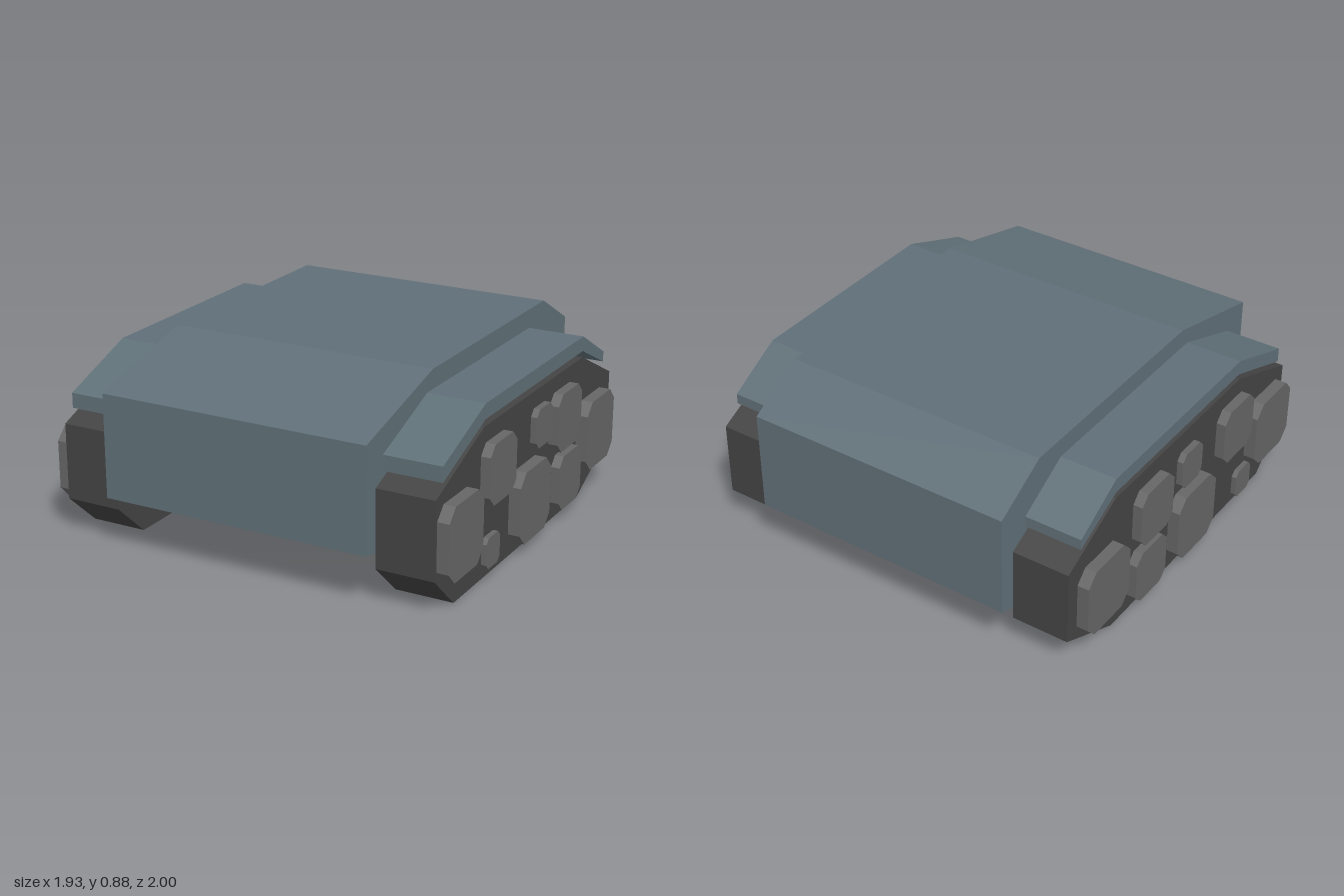
import * as THREE from 'three';

const material = (color) => new THREE.MeshStandardMaterial({ color, flatShading: true });

// Side profile given as [z, y] points, extruded along x from x0 to x1
function slab(name, profile, x0, x1, mat) {
  const shape = new THREE.Shape(profile.map(([z, y]) => new THREE.Vector2(-z, y)));
  const geometry = new THREE.ExtrudeGeometry(shape, { depth: x1 - x0, bevelEnabled: false });
  geometry.rotateY(Math.PI / 2).translate(x0, 0, 0);
  const mesh = new THREE.Mesh(geometry, mat);
  mesh.name = name;
  return mesh;
}

// Square with cut corners, centred on [z, y] with half sizes w and h
function octagon(z, y, w, h) {
  const cw = w * 0.66, ch = h * 0.66;
  return [[w, -ch], [w, ch], [cw, h], [-cw, h], [-w, ch], [-w, -ch], [-cw, -h], [cw, -h]]
    .map(([a, b]) => [z + a, y + b]);
}

export function createModel() {
  const model = new THREE.Group();
  const armour = material(0x607078);
  const rubber = material(0x444444);
  const steel = material(0x666666);

  // Central hull, wedge-shaped at both ends
  const hull = [[1, 0.25], [1, 0.73], [0.42, 0.88], [-0.73, 0.88],
    [-1, 0.73], [-1, 0.25], [-0.73, 0.15], [0.42, 0.15]];
  model.add(slab('hull', hull, -0.64, 0.64, armour));

  const track = [[0.92, 0.165], [0.92, 0.52], [0.48, 0.69], [-0.57, 0.69],
    [-0.92, 0.52], [-0.92, 0.165], [-0.57, 0], [0.74, 0]];
  const fender = [[0.86, 0.575], [0.86, 0.645], [0.47, 0.79], [-0.57, 0.79],
    [-0.83, 0.645], [-0.83, 0.595], [-0.57, 0.72], [0.47, 0.72]];
  // Wheels: z, y, half length, half height
  const wheels = [
    [0.745, 0.313, 0.161, 0.168], [0.05, 0.217, 0.161, 0.168], [-0.688, 0.311, 0.162, 0.167],
    [0.398, 0.488, 0.132, 0.137], [-0.31, 0.488, 0.132, 0.137], [-0.34, 0.19, 0.125, 0.13],
    [-0.023, 0.545, 0.085, 0.09], [0.483, 0.15, 0.067, 0.071],
  ];

  for (const [side, s] of [['left', 1], ['right', -1]]) {
    const running = new THREE.Group();
    running.name = side + 'RunningGear';
    const add = (name, profile, a, b, mat) =>
      running.add(slab(name, profile, Math.min(s * a, s * b), Math.max(s * a, s * b), mat));
    add('track', track, 0.64, 0.91, rubber);
    add('fender', fender, 0.64, 0.91, armour);
    // All wheels share one outer plane; thickness follows their size
    wheels.forEach(([z, y, w, h], i) =>
      add('wheel' + (i + 1), octagon(z, y, w, h), 0.966 - 0.33 * h, 0.966, steel));
    model.add(running);
  }
  return model;
}
